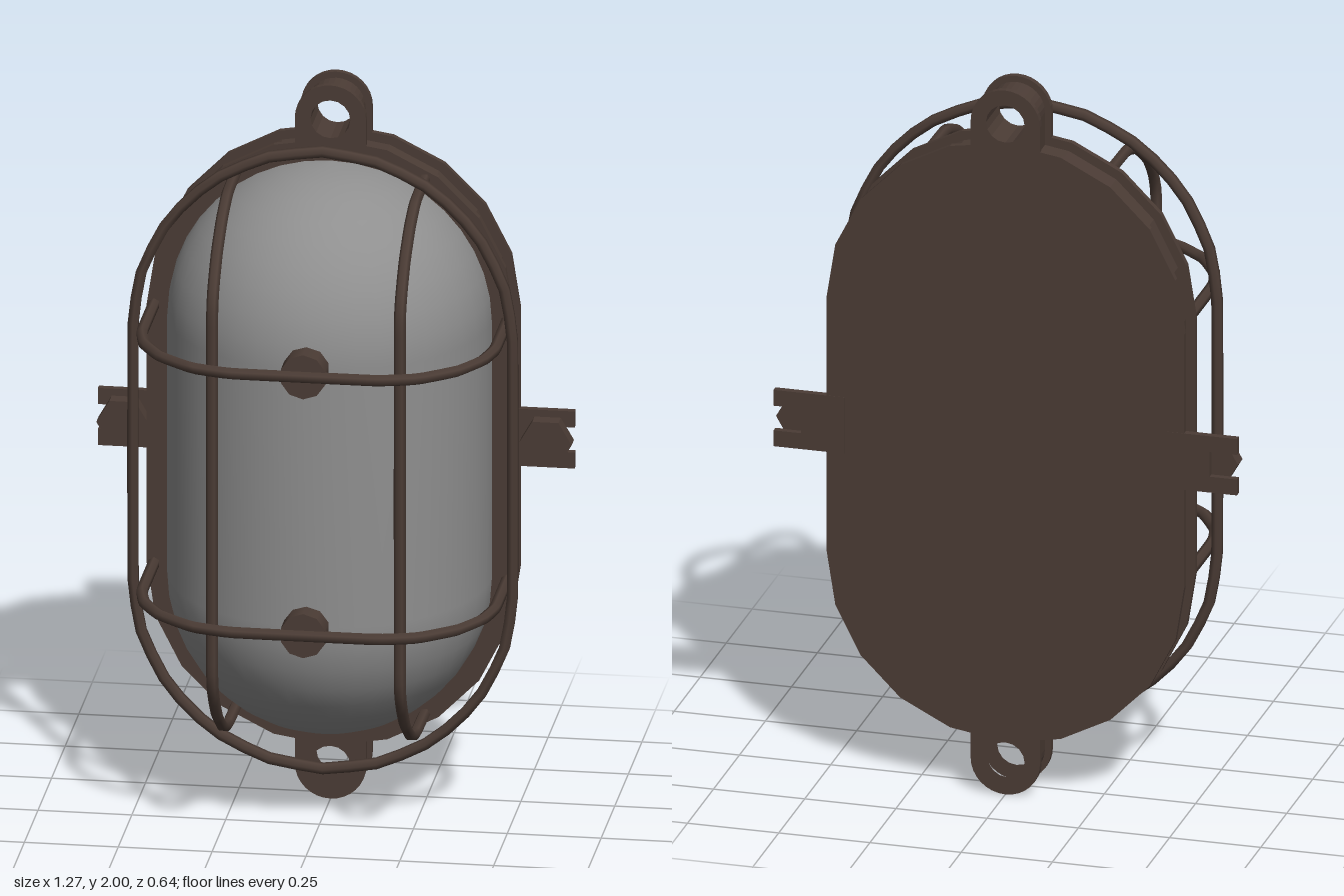
import * as THREE from 'three';

export function createModel() {
  const model = new THREE.Group();
  model.name = 'bulkheadLamp';
  const metal = new THREE.MeshStandardMaterial({ color: 0x4b3c35 });
  metal.name = 'bronze metal';
  const glass = new THREE.MeshStandardMaterial({ color: 0x8f8f8f, side: THREE.DoubleSide });
  glass.name = 'grey glass';

  const add = (name, geometry, material = metal) => {
    const mesh = new THREE.Mesh(geometry, material);
    mesh.name = name;
    model.add(mesh);
    return mesh;
  };
  const extrude = (shape, z0, z1) => new THREE.ExtrudeGeometry(shape, {
    depth: z1 - z0, bevelEnabled: false, curveSegments: 8,
  }).translate(0, 0, z0);

  // Points round an upright stadium with centre y = 1
  const stadium = (r, n = 10) => {
    const pts = [];
    for (const side of [0, 1]) {
      for (let i = 0; i <= n; i++) {
        const a = Math.PI * (side + i / n);
        pts.push(new THREE.Vector2(r * Math.cos(a), 1 + (side ? -0.36 : 0.36) + r * Math.sin(a)));
      }
    }
    return pts;
  };

  // Hanging lug with a round hole
  const lug = (r, s) => {
    const y = 1 + s * 0.905;
    const shape = new THREE.Shape();
    shape.moveTo(-r, 1 + s * 0.79);
    shape.lineTo(r, 1 + s * 0.79);
    shape.lineTo(r, y);
    shape.absarc(0, y, r, 0, Math.PI * s, s < 0);
    shape.closePath();
    const hole = new THREE.Path();
    hole.absarc(0, y, 0.053, 0, Math.PI * 2, true);
    shape.holes.push(hole);
    return shape;
  };

  // Housing: two wide flanges with a narrower body between them
  const layers = [
    ['backFlange', 0.49, 0.095, -0.325, -0.308],
    ['housingBody', 0.465, 0.078, -0.308, -0.217],
    ['frontFlange', 0.49, 0.095, -0.217, -0.2],
  ];
  for (const [name, r, lugR, z0, z1] of layers) {
    add(name, extrude(new THREE.Shape(stadium(r)), z0, z1));
    for (const s of [1, -1]) add(name + (s > 0 ? 'TopLug' : 'BottomLug'), extrude(lug(lugR, s), z0, z1));
  }

  // Half capsule of glass
  const profile = [];
  for (const side of [-1, 1]) {
    for (let i = 0; i <= 10; i++) {
      const a = (Math.PI / 2) * (side < 0 ? i / 10 - 1 : i / 10);
      profile.push(new THREE.Vector2(Math.max(0, 0.43 * Math.cos(a)), 0.36 * side + 0.43 * Math.sin(a)));
    }
  }
  const dome = new THREE.LatheGeometry(profile, 20, -Math.PI / 2, Math.PI);
  add('glassDome', dome.scale(1, 1, 1.04).translate(0, 1, -0.2), glass);

  // Guard wires
  const wire = (name, pts, closed = false) => {
    const curve = new THREE.CatmullRomCurve3(pts, closed, 'catmullrom', 0.15);
    add(name, new THREE.TubeGeometry(curve, 64, 0.016, 6, closed));
  };
  wire('guardRing', stadium(0.505).map(p => new THREE.Vector3(p.x, p.y, -0.06)), true);

  // Mirrors half a [distance, z] path to make a full bow
  const bow = half => [...half.map(([d, z]) => [-d, z]), ...half.slice().reverse()];
  const uprights = bow([[0.75, -0.21], [0.745, -0.03], [0.71, 0.07], [0.65, 0.16], [0.58, 0.22], [0.49, 0.25]]);
  const crossings = bow([[0.47, -0.21], [0.47, 0.02], [0.45, 0.11], [0.395, 0.2], [0.3, 0.275], [0.19, 0.303]]);
  for (const s of [1, -1]) {
    wire(s > 0 ? 'leftUpright' : 'rightUpright',
      uprights.map(([d, z]) => new THREE.Vector3(s * 0.25, 1 + d, z)));
    const y = 1 + s * 0.363;
    wire(s > 0 ? 'upperCrossbar' : 'lowerCrossbar',
      crossings.map(([d, z]) => new THREE.Vector3(d, y, z)));

    // Spacer stud between glass and crossbar
    const stud = new THREE.CylinderGeometry(0.062, 0.062, 0.08, 10).rotateX(Math.PI / 2);
    add(s > 0 ? 'upperStud' : 'lowerStud', stud.translate(0, y, 0.265));

    // Slotted side tab with its bolt
    const tab = [[0.44, -0.08], [0.635, -0.08], [0.635, -0.035], [0.56, -0.035],
      [0.56, 0.035], [0.635, 0.035], [0.635, 0.08], [0.44, 0.08]];
    const outline = new THREE.Shape(tab.map(([x, y0]) => new THREE.Vector2(s * x, 1 + y0)));
    add(s > 0 ? 'leftTab' : 'rightTab', extrude(outline, -0.326, -0.307));
    const bolt = new THREE.CylinderGeometry(0.07, 0.07, 0.044, 6).toNonIndexed();
    bolt.computeVertexNormals();
    bolt.rotateY(Math.PI / 2).rotateX(Math.PI / 2);
    add(s > 0 ? 'leftBolt' : 'rightBolt', bolt.translate(s * 0.563, 1, -0.287));
  }
  return model;
}
